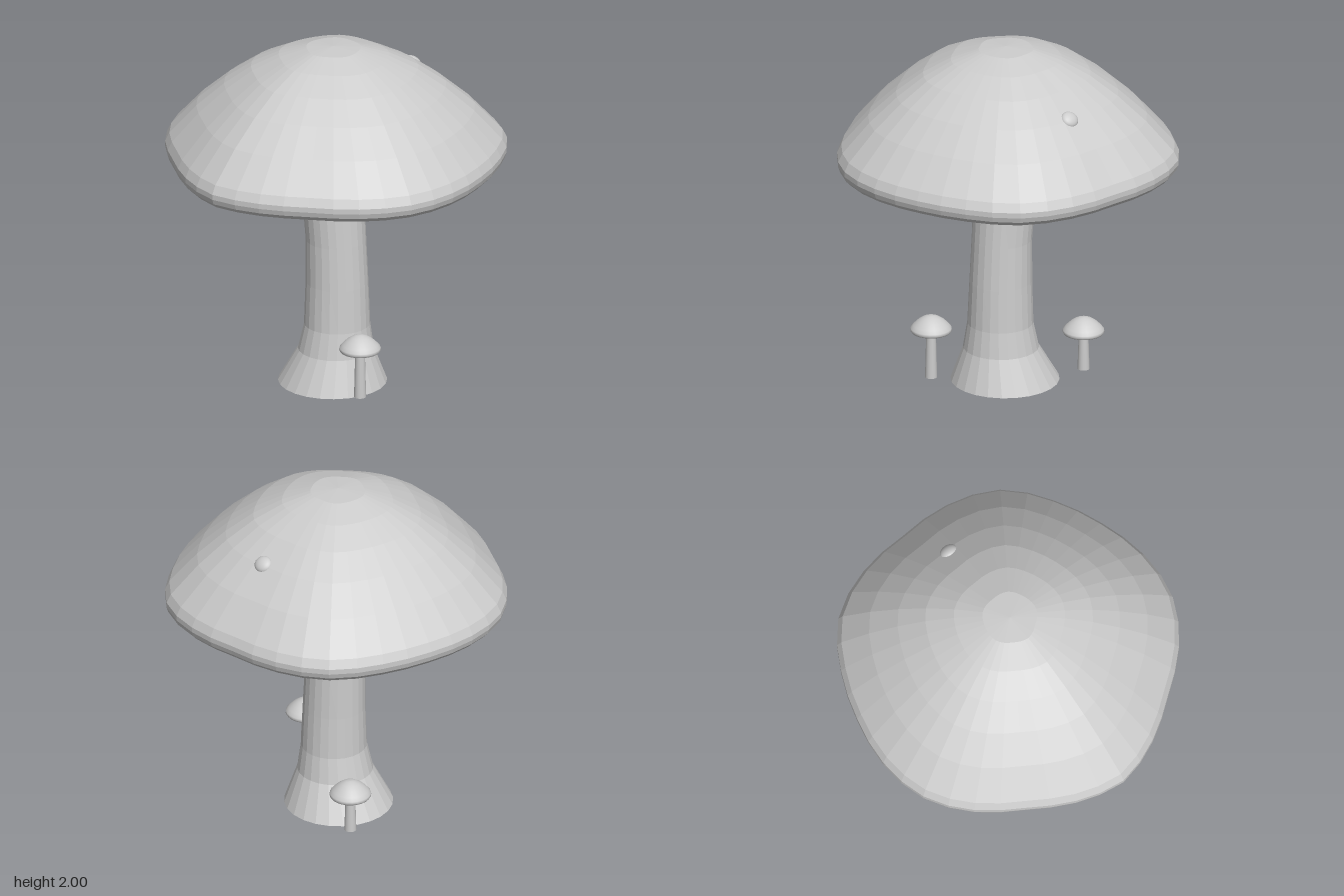
import * as THREE from 'three';

const grey = new THREE.MeshStandardMaterial({ color: 0xcccccc });
grey.name = 'plain grey';
const greyOpen = new THREE.MeshStandardMaterial({ color: 0xcccccc, side: THREE.DoubleSide });
greyOpen.name = 'plain grey, open surface';

const profile = (pairs) => pairs.map(([r, y]) => new THREE.Vector2(r, y));

function part(name, geometry, material = grey) {
  const mesh = new THREE.Mesh(geometry, material);
  mesh.name = name;
  return mesh;
}

// Give every facet its own normal
function faceted(geometry) {
  const flat = geometry.toNonIndexed();
  flat.computeVertexNormals();
  return flat;
}

// Move each vertex of a geometry by a rule
function reshape(geometry, rule) {
  const pos = geometry.attributes.position;
  const v = new THREE.Vector3();
  for (let i = 0; i < pos.count; i++) {
    rule(v.fromBufferAttribute(pos, i));
    pos.setXYZ(i, v.x, v.y, v.z);
  }
  return geometry;
}

// Cap radius from the front (+z) round to the back, every 18 degrees
const outline = new THREE.SplineCurve(profile(
  [0.948, 0.913, 0.888, 0.925, 0.96, 0.954, 0.943, 0.965, 1.006, 0.985, 0.955].map((r, i) => [r, i])
));

function bigCap() {
  const lathe = new THREE.LatheGeometry(profile([
    [0, 1.29], [0.92, 1.29], [0.965, 1.305], [0.99, 1.33], [1, 1.36], [1, 1.39],
    [0.975, 1.44], [0.815, 1.61], [0.65, 1.75], [0.49, 1.86], [0.325, 1.94], [0.16, 1.99], [0, 2],
  ]), 40);
  return faceted(reshape(lathe, (v) => {
    const f = Math.hypot(v.x, v.z);
    const r = outline.getPoint(Math.abs(Math.atan2(v.x, v.z)) / Math.PI).x;
    v.x *= r;
    v.z = v.z * r - 0.03 * Math.max(0, 1 - f);
  }));
}

// Bent stem: rows of height, min x, max x, min z, max z
function bigStem() {
  const rows = [
    [0, -0.305, 0.305, -0.33, 0.28], [0.2, -0.185, 0.24, -0.235, 0.19],
    [0.35, -0.15, 0.22, -0.21, 0.16], [0.6, -0.145, 0.21, -0.2, 0.147],
    [0.85, -0.145, 0.195, -0.195, 0.142], [1.1, -0.17, 0.178, -0.2, 0.147],
    [1.2, -0.19, 0.17, -0.208, 0.153], [1.3, -0.218, 0.166, -0.224, 0.169],
  ];
  const lathe = new THREE.LatheGeometry(profile(rows.map((_, i) => [1, i])), 24);
  return faceted(reshape(lathe, (v) => {
    const [y, x0, x1, z0, z1] = rows[Math.round(v.y)];
    v.set((x0 + x1) / 2 + v.x * (x1 - x0) / 2, y, (z0 + z1) / 2 + v.z * (z1 - z0) / 2);
  }));
}

// Small mushroom standing at (x, z), with the underside of its cap at height y
function smallMushroom(name, x, y, z) {
  const group = new THREE.Group();
  group.name = name;
  const cap = new THREE.LatheGeometry(profile([
    [0, 0], [0.096, 0], [0.096, 0], [0.11, 0.005], [0.117, 0.015], [0.115, 0.028],
    [0.1, 0.046], [0.075, 0.07], [0.048, 0.088], [0.022, 0.098], [0, 0.1],
  ]), 24);
  const height = y - 0.055 + 0.01;
  const stem = new THREE.CylinderGeometry(0.027, 0.034, height, 16, 1, true);
  stem.translate(0, 0.055 + height / 2, 0);
  cap.translate(0, y, 0);
  group.add(part('smallCap', cap), part('smallStem', stem, greyOpen));
  group.position.set(x, 0, z);
  return group;
}

export function createModel() {
  const model = new THREE.Group();
  model.name = 'mushrooms';
  model.add(part('cap', bigCap()), part('stem', bigStem(), greyOpen));

  // Flattened wart on the back slope of the cap
  const wart = part('wart', new THREE.SphereGeometry(1, 20, 12));
  wart.scale.set(0.053, 0.03, 0.05);
  wart.rotation.x = -0.72;
  wart.position.set(0.05, 1.75, -0.62);
  model.add(wart);

  model.add(
    smallMushroom('leftSmallMushroom', 0.388, 0.325, 0.16),
    smallMushroom('rightSmallMushroom', -0.328, 0.265, -0.315),
  );
  return model;
}
